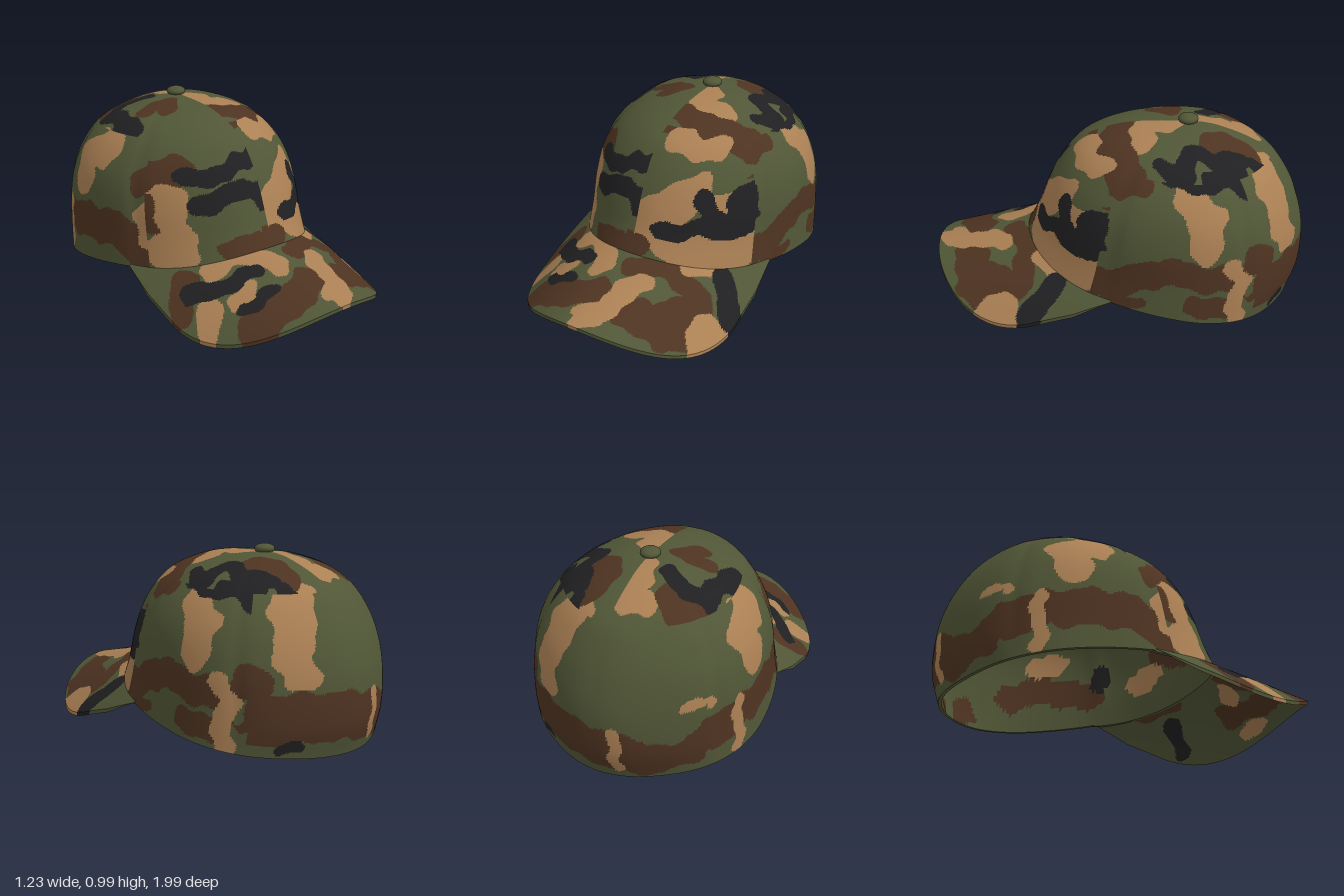
import * as THREE from 'three';

const paint = (name, color) => Object.assign(new THREE.MeshStandardMaterial({ color }), { name });
const materials = [
  paint('olive', 0x505636), paint('tan', 0xab8054), paint('brown', 0x4e3321), paint('black', 0x202022),
];
const O = 0, T = 1, B = 2, K = 3;

// Camouflage strokes: [colour, radius, a, b, a, b, ...], later ones on top
const FRONT = [
  [B, .06, -.5, .46, -.5, .6, -.4, .68, -.33, .7], [T, .07, -.42, .57, -.43, .45, -.41, .3, -.47, .28],
  [B, .035, -.51, .42, -.49, .56], [K, .04, -.33, .66, -.27, .68, -.15, .69, -.08, .73, 0, .755],
  [K, .047, -.31, .53, -.24, .58, -.14, .6, -.01, .6, -.01, .55],
  [B, .045, -.23, .34, -.1, .35, -.01, .36, -.01, .39], [T, .09, .02, .5, .12, .53, .22, .6, .24, .63],
  [T, .09, .08, .46, .2, .4, .36, .33, .5, .3], [T, .06, .36, .56, .42, .56], [B, .045, .01, .38, .05, .35],
  [B, .045, .02, .91, .2, .88, .33, .86, .42, .78, .46, .72], [O, .03, .3, .73, .42, .7],
  [T, .04, .08, .84, .18, .83, .3, .795],
  [K, .045, .14, .45, .22, .45, .32, .46, .42, .43, .5, .43], [K, .042, .3, .6, .34, .5], [K, .07, .43, .45, .46, .52, .465, .59],
];
const TOP = [
  [T, .06, -.13, -.66, -.05, -.68, -.04, -.55, -.02, -.43], [T, .07, -.5, -.47, -.5, -.25],
  [B, .065, -.4, -.58, -.27, -.62, -.2, -.56],
  [K, .05, -.15, -.45, -.25, -.5, -.36, -.49, -.36, -.35, -.39, -.2], [B, .05, -.27, -.26, -.12, -.28, -.19, -.17],
  [B, .05, -.45, .05, -.35, .1], [T, .08, .2, -.88, .18, -.76, .36, -.75], [T, .05, .47, -.6, .48, -.48],
  [B, .07, .15, -.66, .14, -.52, .2, -.47], [T, .075, .04, -.26, .07, -.13, .2, -.12],
  [K, .04, .21, -.68, .24, -.76, .31, -.73, .3, -.62], [K, .05, .24, -.62, .29, -.5, .27, -.38, .4, -.34, .36, -.25],
  [K, .045, .31, -.6, .42, -.46], [O, .022, .27, -.69, .28, -.68],
  [B, .075, .03, 0, .2, .01, .37, -.08, .48, -.06], [T, .04, .08, .13, .2, .1, .35, .07, .42, .04],
];
const LEFT = [
  [B, .075, .12, .26, 0, .29, -.12, .35, -.25, .41, -.38, .39, -.5, .36, -.58, .36], [B, .03, 0, .21, -.15, .2],
  [B, .06, -.42, .22, -.56, .18], [B, .08, -.74, .27, -.8, .27], [O, .025, -.69, .26, -.68, .33],
  [B, .055, .05, .83, -.05, .78, -.15, .8], [T, .08, -.38, .74, -.48, .64, -.46, .53],
  [T, .045, -.62, .1, -.62, .25, -.65, .33, -.6, .42], [B, .045, -.71, .39, -.7, .47],
  [K, .06, .16, .46, .09, .5, .07, .6], [K, .045, -.25, .87, -.35, .82, -.55, .82, -.68, .76, -.75, .72],
  [T, .05, -.66, .84, -.78, .72],
];
const RIGHT = [
  [B, .1, .12, .28, -.1, .36, -.3, .35, -.5, .32, -.72, .28], [O, .04, -.42, .16, -.5, .2], [B, .06, 0, .62, .05, .7],
  [T, .09, -.28, .74, -.44, .67, -.4, .56], [T, .035, -.56, .12, -.57, .38], [T, .05, .05, .48, .08, .33],
  [T, .025, -.7, .46, -.73, .45],
];
const BACK = [
  [B, .12, -.25, .18, 0, .23, .2, .25, .52, .25], [B, .07, -.52, .33, -.42, .2, -.25, .14], [O, .045, -.36, .3, -.28, .31],
  [T, .08, .2, .78, .27, .68, .31, .55, .3, .45], [T, .03, -.12, .1, -.11, .32], [B, .05, .46, .4, .47, .47],
  [T, .028, -.44, .47, -.4, .45], [K, .03, .3, .1, .36, .11],
];
const VISOR = [
  [B, .07, -.53, .42, -.46, .34], [T, .06, -.52, .62, -.46, .55], [T, .045, -.36, .62, -.28, .64],
  [T, .06, -.34, .4, -.2, .43, -.12, .52, -.08, .62], [K, .045, -.48, .4, -.4, .48, -.31, .54, -.2, .57],
  [B, .09, -.36, .79, -.2, .83, 0, .78], [K, .035, -.34, .68, -.28, .72, -.2, .71], [B, .1, .22, .8, .35, .75, .4, .62],
  [B, .06, .06, .56, .22, .47, .42, .48], [T, .06, .16, .62, .1, .72, .1, .84, 0, .95],
  [T, .09, .53, .66, .53, .56], [T, .05, .3, .38, .38, .3], [K, .06, .44, .3, .52, .37, .56, .43],
  [O, .035, -.4, .89, -.2, .96, -.07, .98], [O, .035, .2, .93, .34, .87],
];
const UNDERSIDE = [
  [B, .08, -.25, .87, -.08, .83, .1, .8, .22, .7], [B, .06, -.48, .17, -.4, .28], [B, .07, .28, .35, .4, .22],
  [B, .05, -.08, .52, -.05, .65], [T, .05, .02, .6, .12, .65], [T, .06, -.53, .45, -.52, .34],
  [T, .04, .2, .88, .3, .82], [T, .04, -.35, .76, -.42, .7], [K, .05, -.16, .5, -.3, .5, -.36, .6],
  [K, .04, -.25, .38, -.3, .5], [K, .05, .42, .42, .5, .5],
];
// Lining strokes use distance around the band and height
const LINING = [
  [B, .09, 3.4, .52, 3.5, .46, 3.65, .5, 3.74, .42], [B, .08, 2.98, .6, 3, .48, 3.12, .4], [B, .07, 2.75, .5, 2.8, .36],
  [T, .07, 3.24, .55, 3.28, .46, 3.2, .4], [K, .03, 3.34, .63, 3.38, .6], [T, .04, 2.88, .3, 2.92, .38],
  [B, .05, 2.06, .05, 2.08, .2, 2.2, .3], [T, .05, 2.26, .08, 2.3, .14], [K, .02, 2.09, .08, 2.09, .13],
  [B, .07, 1.74, .08, 1.72, .18, 1.6, .3], [T, .03, 1.83, .1, 1.83, .2], [B, .07, 1.5, .1, 1.4, .15],
  [B, .08, 1.1, .3, .9, .38, .7, .35], [T, .06, .85, .55, .95, .5], [T, .06, .35, .45, .45, .4],
  [B, .08, .1, .5, .25, .55], [K, .04, .6, .5, .65, .42], [K, .04, 2.5, .3, 2.55, .36],
];

// Topmost stroke under a wobbled point; mirrored pairs of panels do not bleed over the centre seam
function strokeColour(list, a, b, split = false) {
  const x = a + .01 * Math.sin(31 * b + 3 * a) + .006 * Math.sin(57 * b + 1);
  const y = b + .01 * Math.sin(29 * a + 2) + .006 * Math.sin(53 * a + 4 * b);
  for (let n = list.length - 1; n >= 0; n--) {
    const [colour, radius, ...p] = list[n];
    if (split && a * (p[0] || p[2]) < 0) continue;
    for (let i = 0; i + 3 < p.length; i += 2) {
      const dx = p[i + 2] - p[i], dy = p[i + 3] - p[i + 1];
      const k = THREE.MathUtils.clamp(((x - p[i]) * dx + (y - p[i + 1]) * dy) / (dx * dx + dy * dy), 0, 1);
      if (Math.hypot(x - p[i] - k * dx, y - p[i + 1] - k * dy) < radius) return colour;
    }
  }
  return O;
}

// Surface from a rule over u, v with its faces sorted into colour groups
function surface(name, rule, nu, nv, colourAt) {
  const g = new THREE.PlaneGeometry(1, 1, nu, nv);
  const pos = g.attributes.position, uv = g.attributes.uv, p = new THREE.Vector3();
  for (let i = 0; i < pos.count; i++) {
    p.copy(rule(uv.getX(i), uv.getY(i)));
    pos.setXYZ(i, p.x, p.y, p.z);
  }
  g.computeVertexNormals();
  const sorted = [[], [], [], []], index = g.index.array, q = new THREE.Vector3();
  for (let i = 0; i < index.length; i += 3) {
    const c = [index[i], index[i + 1], index[i + 2]];
    p.set(0, 0, 0);
    c.forEach((k) => p.add(q.fromBufferAttribute(pos, k)));
    p.divideScalar(3);
    const u = (uv.getX(c[0]) + uv.getX(c[1]) + uv.getX(c[2])) / 3;
    const v = (uv.getY(c[0]) + uv.getY(c[1]) + uv.getY(c[2])) / 3;
    sorted[colourAt(p, u, v)].push(...c);
  }
  g.setIndex(sorted.flat());
  let start = 0;
  sorted.forEach((s, m) => { g.addGroup(start, s.length, m); start += s.length; });
  const mesh = new THREE.Mesh(g, materials);
  mesh.name = name;
  return mesh;
}

// Crown profiles: front, side and back radius at each height fraction
const curve = (pts) => new THREE.CatmullRomCurve3(pts.map((p) => new THREE.Vector3(...p)), false, 'catmullrom');
const radii = curve([[.86, .617, .59], [.8, .607, .635], [.745, .597, .63], [.69, .567, .585], [.63, .51, .52],
  [.56, .432, .44], [.46, .34, .32], [.33, .2, .18], [.18, .1, .09], [0, 0, 0]]);
const heights = curve([0, .18, .4, .58, .72, .83, .91, .97, .993, 1].map((f) => [f, 0, 0]));
const seams = [0, 1.06, -1.06, 2.1, -2.1, Math.PI, -Math.PI];
const CENTRE = -.36, APEX = .945;

const visorY = (x, z) => .445 - .25 * z - (.8 + .3 * z * z) * x * x;
const rimY = (x, z) => z > 0 ? visorY(x, z) - .015 : .185 + .155 * z;

function crownPoint(t, v, inset = 1) {
  const r = radii.getPoint(v), r0 = radii.getPoint(0), c = Math.cos(t), s = Math.sin(t);
  // Sewn grooves, and flatter back panels
  let shape = inset * (1 - .028 * Math.exp(-(((Math.abs(t) - 2.6) / .35) ** 2)));
  seams.forEach((a, i) => { shape -= (i && i < 5 ? .013 : .005) * Math.exp(-(((t - a) / .07) ** 2)) * Math.min(1, v * 6); });
  const rim = rimY(r0.y * s, CENTRE + (c > 0 ? r0.x : r0.z) * c);
  const y = rim + (APEX - rim) * heights.getPoint(v).x;
  return new THREE.Vector3(r.y * s * shape, y - (1 - inset) * .8 * v, CENTRE + (c > 0 ? r.x : r.z) * c * shape);
}

function crownColour(p, u, v) {
  const t = Math.abs((u - .5) * 2 * Math.PI);
  if (v > (t < .98 ? .66 : .56)) return strokeColour(TOP, p.x, p.z, true);
  if (t < .98) return strokeColour(FRONT, p.x, p.y, true);
  if (t > 2.2) return strokeColour(BACK, p.x, p.y);
  return strokeColour(p.x > 0 ? LEFT : RIGHT, p.z, p.y);
}

// Visor: spans from the crown rim (v = 0) to its rounded outline (v = 1), thinning to its rear corners
function visorPoint(w, v, drop = 0) {
  const a = Math.abs(w), inner = crownPoint(1.128 * w, 0, .99), end = Math.min(1, (1 - a) * 8);
  const phi = Math.min(a / .75, 1) * Math.PI / 2;
  const ox = Math.sign(w) * (.565 + .02 * end) * Math.sin(phi);
  const oz = a < .75 ? .4 + .6 * Math.cos(phi) : .4 * (1 - a) / .25;
  const x = THREE.MathUtils.lerp(inner.x, ox, v), z = THREE.MathUtils.lerp(inner.z, oz, v);
  return new THREE.Vector3(x, visorY(x, z) - drop * end, z);
}

export function createModel() {
  const cap = new THREE.Group();
  cap.name = 'cap';
  const angle = (u) => (u - .5) * 2 * Math.PI;
  const visorColour = (p) => strokeColour(VISOR, p.x, p.z);
  const undersideColour = (p) => strokeColour(UNDERSIDE, p.x, p.z);
  const liningColour = (p, u) => strokeColour(LINING, ((1.5 - u) % 1) * 1.2 * Math.PI, p.y);

  cap.add(surface('crown', (u, v) => crownPoint(angle(u), v), 340, 120, crownColour));
  cap.add(surface('crownLining', (u, v) => crownPoint(-angle(u), v, .97), 190, 48, liningColour));
  cap.add(surface('crownRim', (u, v) => crownPoint(angle(u), 0, .97 + .03 * v), 140, 1, () => O));
  cap.add(surface('visorTop', (u, v) => visorPoint(2 * u - 1, 1 - v), 200, 70, visorColour));
  cap.add(surface('visorUnderside', (u, v) => visorPoint(1 - 2 * u, 1 - v, .02), 130, 40, undersideColour));
  cap.add(surface('visorEdge', (u, v) => visorPoint(2 * u - 1, 1, .02 * (1 - v)), 200, 1, visorColour));

  // Button on the apex
  const button = new THREE.Mesh(new THREE.SphereGeometry(.052, 24, 12), materials[O]);
  button.name = 'topButton';
  button.scale.y = .5;
  button.position.set(0, .958, CENTRE);
  cap.add(button);
  return cap;
}
